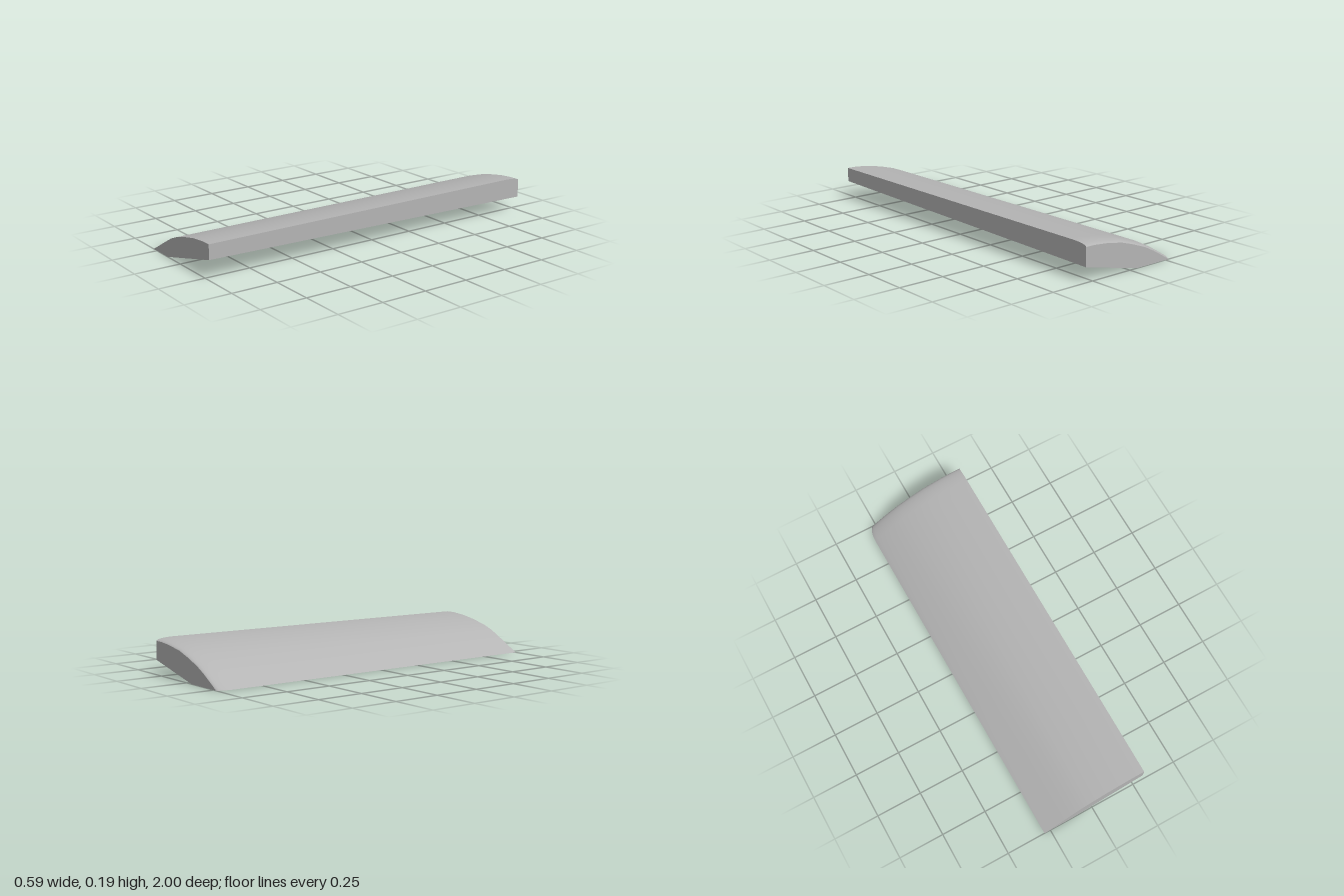
import * as THREE from 'three';

// Upper curve of the cross-section, leading edge to blunt edge: [x, y]
const frontCurve = [[-0.285, 0], [-0.26, 0.014], [-0.21, 0.042], [-0.155, 0.073], [-0.085, 0.111],
  [-0.025, 0.134], [0.06, 0.157], [0.15, 0.175], [0.24, 0.184], [0.296, 0.184]];
const backCurve = [[-0.297, 0], [-0.275, 0.018], [-0.22, 0.051], [-0.17, 0.08], [-0.107, 0.111],
  [-0.025, 0.141], [0.06, 0.167], [0.165, 0.184], [0.245, 0.191], [0.296, 0.191]];
const last = backCurve.length - 1;
const roundStart = -0.91;
const roundDepth = 0.016;
const lerp = THREE.MathUtils.lerp;

// Upper curve at z, moved inward along its normals by inset
function upperCurve(z, inset) {
  const t = Math.min(1, (1 - z) / (1 - roundStart));
  const pts = frontCurve.map(([x, y], i) => [lerp(x, backCurve[i][0], t), lerp(y, backCurve[i][1], t)]);
  return pts.map(([x, y], i) => {
    if (i === 0) return [x + inset * 2, 0, z];
    if (i === last) return [x, y - inset, z];
    const dx = pts[i + 1][0] - pts[i - 1][0];
    const dy = pts[i + 1][1] - pts[i - 1][1];
    const len = Math.hypot(dx, dy);
    return [x + inset * dy / len, y - inset * dx / len, z];
  });
}

// Lower corners at z: blunt edge bottom and keel line
function lowerCorners(z) {
  const t = (1 - z) / 2;
  return [[0.296, lerp(0.105, 0.077, t), z], [lerp(-0.133, -0.047, t), 0, z]];
}

function surface(points, index) {
  const geometry = new THREE.BufferGeometry();
  geometry.setAttribute('position', new THREE.Float32BufferAttribute(points.flat(), 3));
  geometry.setIndex(index);
  geometry.computeVertexNormals();
  return geometry;
}

// Skin joining rows of points that run from front to back
function loft(rows) {
  const n = rows[0].length;
  const index = [];
  for (let j = 0; j < rows.length - 1; j++) {
    for (let i = 0; i < n - 1; i++) {
      const a = j * n + i;
      index.push(a, a + 1, a + n + 1, a, a + n + 1, a + n);
    }
  }
  return surface(rows.flat(), index);
}

// Flat end, fanned from the keel corner
function cap(ring, facesFront) {
  const k = ring.length - 1;
  const index = [];
  for (let i = 0; i < k - 1; i++) index.push(k, ...(facesFront ? [i + 1, i] : [i, i + 1]));
  return surface(ring, index);
}

export function createModel() {
  const group = new THREE.Group();
  group.name = 'taperedBlade';
  const grey = new THREE.MeshStandardMaterial({ color: 0xb4b4b4 });
  grey.name = 'grey';

  // Straight body sections followed by the rounded back end
  const stations = [1, 0.6, 0.2, -0.2, -0.6, -0.85].map((z) => [z, 0]);
  for (let i = 0; i <= 6; i++) {
    const a = (i / 6) * Math.PI / 2;
    stations.push([roundStart - (1 + roundStart) * Math.sin(a), roundDepth * (1 - Math.cos(a))]);
  }
  const rings = stations.map(([z, inset]) => [...upperCurve(z, inset), ...lowerCorners(z)]);
  const strip = (from, to) => loft(rings.map((r) => r.slice(from, to + 1)));

  const add = (name, geometry) => {
    const mesh = new THREE.Mesh(geometry, grey);
    mesh.name = name;
    group.add(mesh);
  };
  add('curvedTop', strip(0, last));
  add('bluntEdge', strip(last, last + 1));
  add('slopedUnderside', strip(last + 1, last + 2));
  add('flatBase', loft(rings.map((r) => [r[last + 2], r[0]])));
  add('frontEnd', cap(rings[0], true));
  add('backEnd', cap(rings[rings.length - 1], false));
  return group;
}
